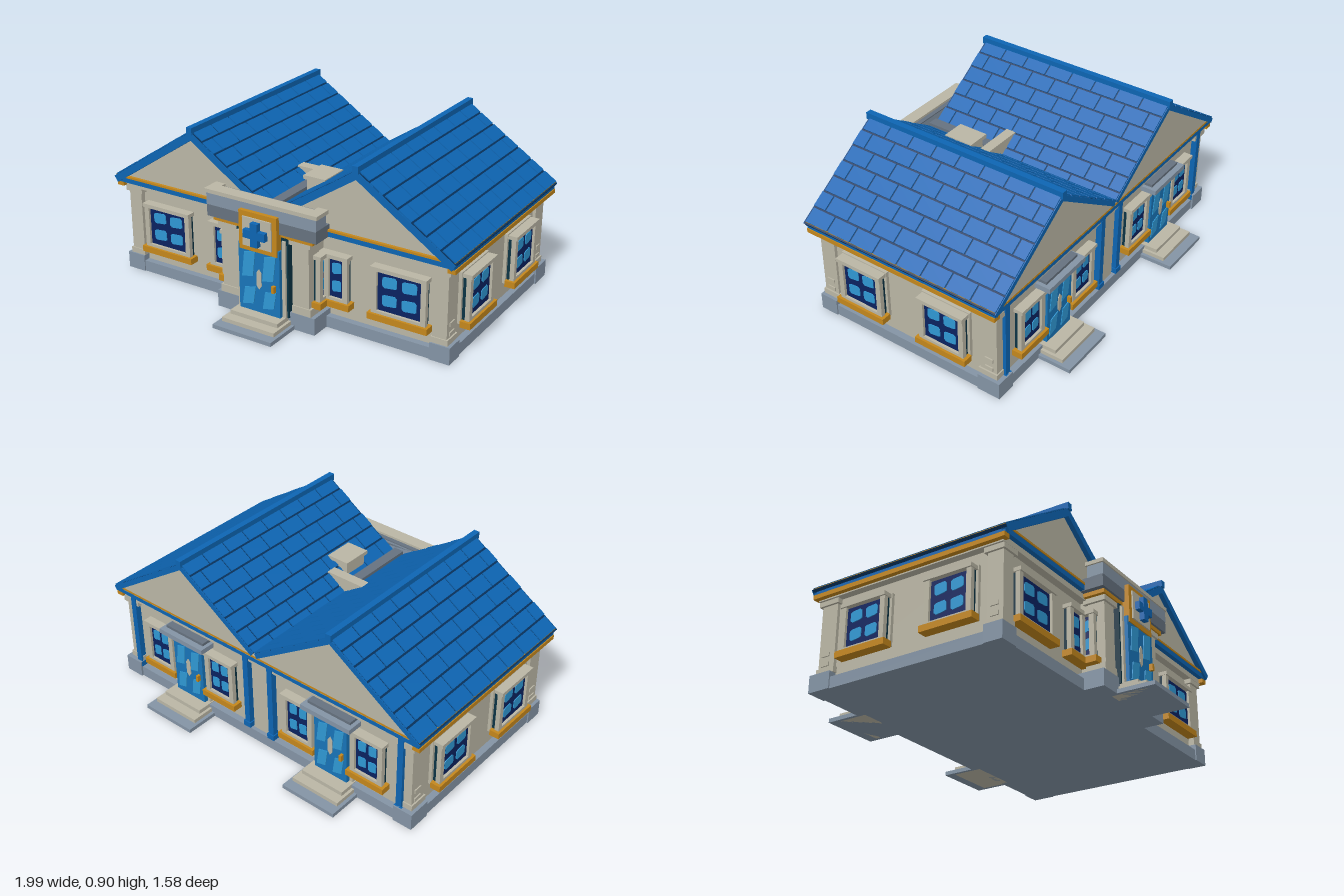
import * as THREE from 'three';

const mat = (name, color) => { const m = new THREE.MeshStandardMaterial({ color }); m.name = name; return m; };
const beige = mat('beige plaster', 0xbab6a5), blue = mat('roof blue', 0x0d65b3), orange = mat('ochre trim', 0xc4871c);
const stone = mat('plinth stone', 0x8494a5), slate = mat('dark slate', 0x66727f), navy = mat('window navy', 0x0a2260);
const glass = mat('light glass', 0x2f98d4), line = mat('tile joint', 0x07315c), doorBlue = mat('door blue', 0x1874b8);
const teal = mat('shadow teal', 0x0a3344);

// Box given by its min and max along each axis
function box(parent, name, m, x0, x1, y0, y1, z0, z1) {
  const b = new THREE.Mesh(new THREE.BoxGeometry(x1 - x0, y1 - y0, z1 - z0), m);
  b.position.set((x0 + x1) / 2, (y0 + y1) / 2, (z0 + z1) / 2);
  b.name = name;
  parent.add(b);
  return b;
}
// Same box on both sides of x = 0
function pair(parent, name, m, x0, x1, y0, y1, z0, z1) {
  box(parent, name, m, x0, x1, y0, y1, z0, z1);
  box(parent, name, m, -x1, -x0, y0, y1, z0, z1);
}
// Thin flat plate cut from an outline
function plate(parent, name, m, pts, z, depth = 0.004) {
  const shape = new THREE.Shape(pts.map(p => new THREE.Vector2(p[0], p[1])));
  const p = new THREE.Mesh(new THREE.ExtrudeGeometry(shape, { depth, bevelEnabled: false }), m);
  p.position.z = z;
  p.name = name;
  parent.add(p);
}
function pane(parent, x, y, w, h, z) {
  const a = w / 2, b = h / 2, k = Math.min(a, b) * 0.35;
  plate(parent, 'paneGlint', glass, [[x - a, y - b + k], [x - a + k, y - b], [x + a - k, y - b * 0.8], [x + a, y - b + k],
    [x + a, y + b - k], [x + a - k, y + b], [x - a + k, y + b * 0.85], [x - a, y + b - k]], z);
}

// Window facing +z with its back on z = 0, centred on x = 0
function makeWindow(w, cols = 2) {
  const g = new THREE.Group(), a = w / 2, y0 = 0.16, y1 = 0.4, f = 0.032;
  g.name = 'window';
  box(g, 'windowRecess', teal, -a + 0.01, a - 0.01, y0, y1 - 0.01, -0.01, 0.022);
  box(g, 'windowPane', navy, -a + f, a - f, y0 + 0.01, y1 - 0.02, 0, 0.028);
  pair(g, 'windowJamb', beige, a - f, a - 0.004, y0, y1 - 0.012, 0.018, 0.042);
  box(g, 'windowHead', beige, -a, a, y1 - 0.016, y1 + 0.004, 0, 0.05);
  box(g, 'windowFoot', beige, -a + f, a - f, y0, y0 + 0.015, 0.018, 0.042);
  box(g, 'windowSill', orange, -a - 0.012, a + 0.012, y0 - 0.033, y0, 0, 0.055);
  const step = (w - 2 * f) / cols;
  for (let c = 0; c < cols; c++)
    for (const y of [0.235, 0.33]) pane(g, (c - (cols - 1) / 2) * step * 0.9, y, step * 0.66, 0.062, 0.028);
  return g;
}
function put(parent, part, x, z, turn) {
  part.position.set(x, 0, z);
  part.rotation.y = turn;
  parent.add(part);
}

// Glazed double door facing +z
function makeDoor(w, h) {
  const g = new THREE.Group(), a = w / 2;
  g.name = 'door';
  box(g, 'doorLeaf', doorBlue, -a, a, 0.06, h, 0, 0.024);
  for (const s of [-1, 1]) for (const [y0, y1] of [[0.09, 0.2], [0.24, h - 0.03]]) {
    const x = s * a * 0.5, d = a * 0.34;
    plate(g, 'doorGlass', glass, [[x - d, y0], [x + d * 0.6, y0 + 0.015], [x + d, y1], [x - d * 0.6, y1 - 0.015]], 0.024);
  }
  plate(g, 'doorBadge', beige, [[0, 0.19], [0.014, 0.21], [0.014, 0.28], [0, 0.3], [-0.014, 0.28], [-0.014, 0.21]], 0.024);
  box(g, 'doorHandle', orange, a * 0.68, a * 0.82, 0.2, 0.235, 0.02, 0.044);
  return g;
}

// Ridge position, eave position and pitch of the twin roofs
const RX = 0.477, RY = 0.885, ANG = Math.atan2(0.345, 0.523), C = Math.cos(ANG), S = Math.sin(ANG);
const ZF = 0.52, ZB = -0.62;

function makeRoof(rx) {
  const g = new THREE.Group();
  g.name = 'roof';
  for (const s of [-1, 1]) {
    const len = (s * rx > 0 ? 1 - RX : RX) / C, rows = 7, pitch = 0.523 / C / rows;
    // Box lying on the slope: u runs down from the ridge, h is along the normal
    const lay = (name, m, u0, u1, h0, h1, z0, z1) => {
      const u = (u0 + u1) / 2, h = (h0 + h1) / 2;
      const b = new THREE.Mesh(new THREE.BoxGeometry(u1 - u0, h1 - h0, z1 - z0), m);
      b.position.set(rx + s * (u * C + h * S), RY - u * S + h * C, (z0 + z1) / 2);
      b.rotation.z = -s * ANG;
      b.name = name;
      g.add(b);
    };
    lay('roofDeck', line, 0, len, -0.022, -0.006, ZB, ZF);
    lay('frontRake', blue, 0, len, -0.044, -0.007, 0.49, ZF + 0.003);
    lay('backRake', blue, 0, len, -0.034, -0.007, ZB - 0.004, ZB + 0.02);
    for (let r = 0; r < rows; r++) {
      const u0 = r * pitch, u1 = Math.min((r + 1) * pitch - 0.01, len);
      if (u1 - u0 < 0.01) continue;
      for (let z = ZB - (r % 2) * 0.071; z < ZF; z += 0.1425) {
        const a = Math.max(z, ZB), b = Math.min(z + 0.1345, ZF);
        if (b - a > 0.01) lay('roofTile', blue, u0, u1, -0.01, 0, a, b);
      }
    }
  }
  box(g, 'ridgeCap', blue, rx - 0.016, rx + 0.016, 0.865, 0.902, ZB - 0.012, ZF + 0.012);
  return g;
}

export function createModel() {
  const m = new THREE.Group();
  m.name = 'clinicBuilding';

  // Plinth and walls
  box(m, 'plinth', stone, -0.96, 0.96, 0, 0.06, -0.61, 0.48);
  box(m, 'walls', beige, -0.925, 0.925, 0.06, 0.5, -0.575, 0.445);
  for (const [z0, z1] of [[0.385, 0.472], [-0.59, -0.495]]) {
    pair(m, 'cornerPlinth', stone, 0.86, 0.967, 0, 0.09, z0 - (z0 < 0 ? 0.03 : 0), z1 + (z0 < 0 ? 0 : 0.014));
    pair(m, 'cornerPilaster', beige, 0.865, 0.942, 0.09, 0.46, z0, z1);
    pair(m, 'pilasterFoot', beige, 0.86, 0.95, 0.09, 0.12, z0 - 0.006, z1 + 0.006);
    pair(m, 'pilasterCapital', beige, 0.85, 0.955, 0.45, 0.485, z0 - 0.012, z1 + 0.012);
    for (const y of [0.13, 0.18]) pair(m, 'quoin', beige, 0.9, 0.948, y, y + 0.02, z0 + 0.02, z0 + 0.065);
  }

  // Cornice bands
  box(m, 'corniceBase', beige, -0.965, 0.965, 0.475, 0.51, -0.6, 0.485);
  box(m, 'corniceBlue', blue, -0.985, 0.985, 0.505, 0.535, -0.615, 0.51);
  box(m, 'corniceTop', orange, -0.99, 0.99, 0.532, 0.543, -0.618, 0.514);
  pair(m, 'corniceSide', orange, 0.95, 0.99, 0.482, 0.505, -0.615, 0.508);

  // Gables and roofs
  for (const s of [-1, 1]) {
    const e = 0.965, k = S / C, top = RY - 0.026;
    const tri = new THREE.Shape([new THREE.Vector2(-RX, 0.53), new THREE.Vector2(e - RX, 0.53),
      new THREE.Vector2(e - RX, top - k * (e - RX)), new THREE.Vector2(0, top), new THREE.Vector2(-RX, top - k * RX)]);
    const gable = new THREE.Mesh(new THREE.ExtrudeGeometry(tri, { depth: 1.115, bevelEnabled: false }), beige);
    gable.position.set(s * RX, 0, -0.617);
    if (s < 0) { gable.rotation.y = Math.PI; gable.position.z = 0.498; }
    gable.name = 'gable';
    m.add(gable, makeRoof(s * RX));
  }

  // Valley gutter, its end wall and the chimney
  box(m, 'valleyGutter', slate, -0.028, 0.028, 0.54, 0.605, 0.1, 0.54);
  box(m, 'valleyEnd', beige, -0.115, 0.115, 0.55, 0.645, 0.065, 0.12);
  box(m, 'chimney', beige, 0.055, 0.16, 0.55, 0.67, 0.15, 0.29);
  box(m, 'chimneyCap', beige, 0.042, 0.17, 0.667, 0.688, 0.136, 0.302);

  // Entrance porch
  box(m, 'porchPlinth', stone, -0.29, 0.29, 0, 0.09, 0.4, 0.588);
  box(m, 'porchWalls', beige, -0.25, 0.25, 0.09, 0.49, 0.4, 0.565);
  pair(m, 'porchPilaster', beige, 0.165, 0.255, 0.09, 0.47, 0.49, 0.58);
  pair(m, 'porchFoot', beige, 0.16, 0.268, 0.09, 0.13, 0.48, 0.586);
  pair(m, 'porchCapital', beige, 0.13, 0.27, 0.455, 0.487, 0.47, 0.592);
  box(m, 'porchTrim', orange, -0.29, 0.29, 0.482, 0.505, 0.44, 0.6);
  box(m, 'parapetBase', slate, -0.318, 0.318, 0.503, 0.567, 0.45, 0.612);
  box(m, 'parapetFront', stone, -0.318, 0.318, 0.565, 0.63, 0.525, 0.614);
  box(m, 'parapetCap', beige, -0.327, 0.327, 0.628, 0.648, 0.55, 0.62);
  pair(m, 'parapetCapReturn', beige, 0.27, 0.327, 0.628, 0.648, 0.52, 0.56);
  box(m, 'parapetRoof', slate, -0.27, 0.27, 0.6, 0.636, 0.525, 0.555);
  box(m, 'doorRecess', teal, -0.15, 0.15, 0.06, 0.485, 0.55, 0.6);
  pair(m, 'doorPost', beige, 0.121, 0.141, 0.06, 0.47, 0.59, 0.612);
  put(m, makeDoor(0.24, 0.42), 0, 0.606, 0);

  // Sign with a cross
  box(m, 'signFrame', orange, -0.11, 0.11, 0.39, 0.593, 0.6, 0.636);
  box(m, 'signFace', beige, -0.084, 0.084, 0.416, 0.567, 0.63, 0.644);
  box(m, 'crossUpright', blue, -0.021, 0.021, 0.43, 0.553, 0.64, 0.67);
  box(m, 'crossArm', blue, -0.063, 0.063, 0.47, 0.513, 0.64, 0.669);

  // Windows
  for (const s of [-1, 1]) {
    put(m, makeWindow(0.3), s * 0.69, 0.445, 0);
    put(m, makeWindow(0.14, 1), s * 0.345, 0.445, 0);
    put(m, makeWindow(0.1, 1), s * 0.25, 0.495, s * Math.PI / 2);
    for (const z of [0.197, -0.297]) put(m, makeWindow(0.27), s * 0.942, z, s * Math.PI / 2);
    for (const x of [0.69, 0.262]) put(m, makeWindow(0.2), s * x, -0.575, Math.PI);
  }
  for (const z of [0.197, -0.297]) pair(m, 'windowSurround', beige, 0.92, 0.942, 0.14, 0.41, z - 0.14, z + 0.14);

  // Back doors with canopies, and blue posts
  for (const s of [-1, 1]) {
    const x = s * RX;
    box(m, 'backDoorFrame', beige, x - 0.12, x + 0.12, 0.06, 0.43, -0.596, -0.57);
    put(m, makeDoor(0.2, 0.4), x, -0.594, Math.PI);
    box(m, 'backCanopy', stone, x - 0.15, x + 0.15, 0.42, 0.447, -0.662, -0.57);
    box(m, 'backCanopyTop', slate, x - 0.13, x + 0.13, 0.445, 0.462, -0.63, -0.57);
    for (const px of [0.88, 0.08]) {
      box(m, 'backPost', blue, s * px - 0.016, s * px + 0.016, 0.06, 0.5, -0.607, -0.57);
      box(m, 'backPostFoot', blue, s * px - 0.022, s * px + 0.022, 0.06, 0.09, -0.613, -0.57);
    }
  }
  box(m, 'backPier', beige, -0.05, 0.05, 0.06, 0.49, -0.59, -0.57);

  // Steps: widest and lowest first
  for (const [x, s, z] of [[0, 1, 0.55], [RX, -1, 0.57], [-RX, -1, 0.57]]) {
    [[0.173, 0.79, 0.021, stone], [0.155, 0.737, 0.042, beige], [0.14, 0.685, 0.064, beige]].forEach(([a, d, y, c]) =>
      box(m, 'step', c, x - a + (s < 0 ? 0.014 : 0), x + a - (s < 0 ? 0.014 : 0), 0, y, s > 0 ? z : -d, s > 0 ? d : -z));
  }
  return m;
}
